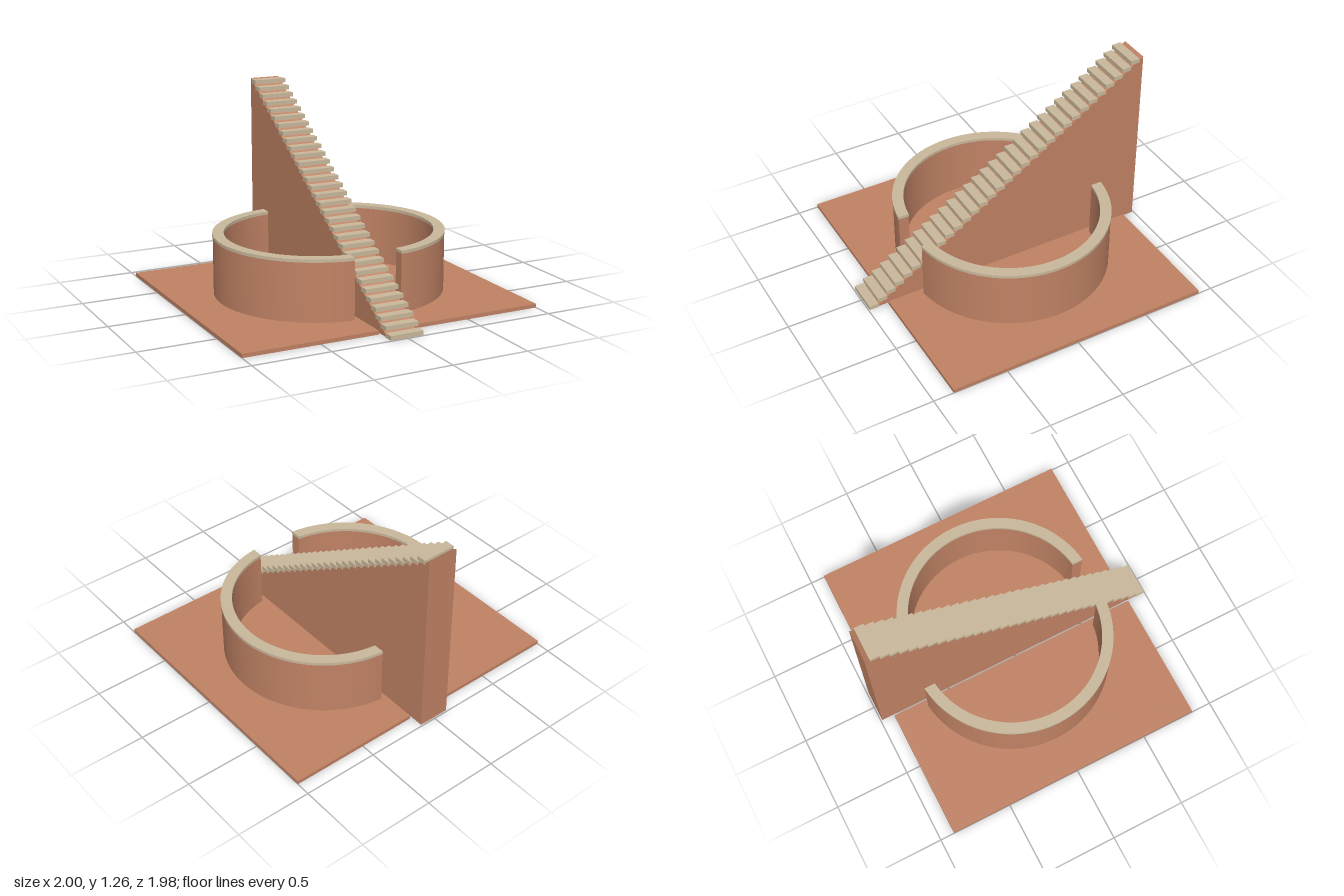
import * as THREE from 'three';
import { toCreasedNormals } from 'three/addons/utils/BufferGeometryUtils.js';

const clay = new THREE.MeshStandardMaterial({ color: 0xc08264 });
clay.name = 'terracotta';
const stone = new THREE.MeshStandardMaterial({ color: 0xc9b89b });
stone.name = 'sandstone';

function add(parent, name, geometry, material, x = 0, y = 0, z = 0) {
  const mesh = new THREE.Mesh(geometry, material);
  mesh.name = name;
  mesh.position.set(x, y, z);
  parent.add(mesh);
  return mesh;
}

// Curved wall section: a ring about x = 0.09, cut off flat at x = 0.16
function arcWall(inner, outer, height) {
  const cut = 0.07;
  const a = Math.acos(cut / outer), b = Math.acos(cut / inner);
  const shape = new THREE.Shape();
  shape.absarc(0, 0, outer, -a, a, false);
  shape.absarc(0, 0, inner, b, -b, true);
  shape.closePath();
  const geometry = new THREE.ExtrudeGeometry(shape, { depth: height, bevelEnabled: false, curveSegments: 48 });
  geometry.rotateX(-Math.PI / 2);
  return toCreasedNormals(geometry, Math.PI / 6);
}

export function createModel() {
  const model = new THREE.Group();
  model.name = 'stairwayMonument';

  // Two mirrored halves, each a ground slab with a capped curved wall
  for (const side of [1, -1]) {
    const half = new THREE.Group();
    half.name = side > 0 ? 'leftHalf' : 'rightHalf';
    add(half, 'groundSlab', new THREE.BoxGeometry(0.88, 0.025, 1.77), clay, 0.56, 0.0125, -0.02);
    add(half, 'curvedWall', arcWall(0.592, 0.66, 0.378), clay, 0.09, 0.022, -0.02);
    add(half, 'wallCap', arcWall(0.59, 0.663, 0.02), stone, 0.09, 0.4, -0.02);
    if (side < 0) half.rotation.y = Math.PI;
    if (side < 0) half.position.z = -0.04; // keeps both halves centred on z = -0.02
    model.add(half);
  }

  // Solid wedge carrying the stairs
  const profile = new THREE.Shape([
    new THREE.Vector2(-0.94, 0),
    new THREE.Vector2(0.99, 0),
    new THREE.Vector2(0.99, 1.265),
  ]);
  const wedge = new THREE.ExtrudeGeometry(profile, { depth: 0.208, bevelEnabled: false });
  wedge.translate(0, 0, -0.104);
  wedge.rotateY(Math.PI / 2);
  add(model, 'stairWedge', wedge, clay);

  // Treads
  const stairs = new THREE.Group();
  stairs.name = 'stairs';
  const count = 32;
  const tread = new THREE.BoxGeometry(0.222, 0.028, 0.063);
  for (let i = 0; i < count; i++) {
    const t = i / (count - 1);
    add(stairs, 'tread', tread, stone, 0, 0.014 + 1.234 * t, 0.961 - 1.888 * t);
  }
  model.add(stairs);

  return model;
}
